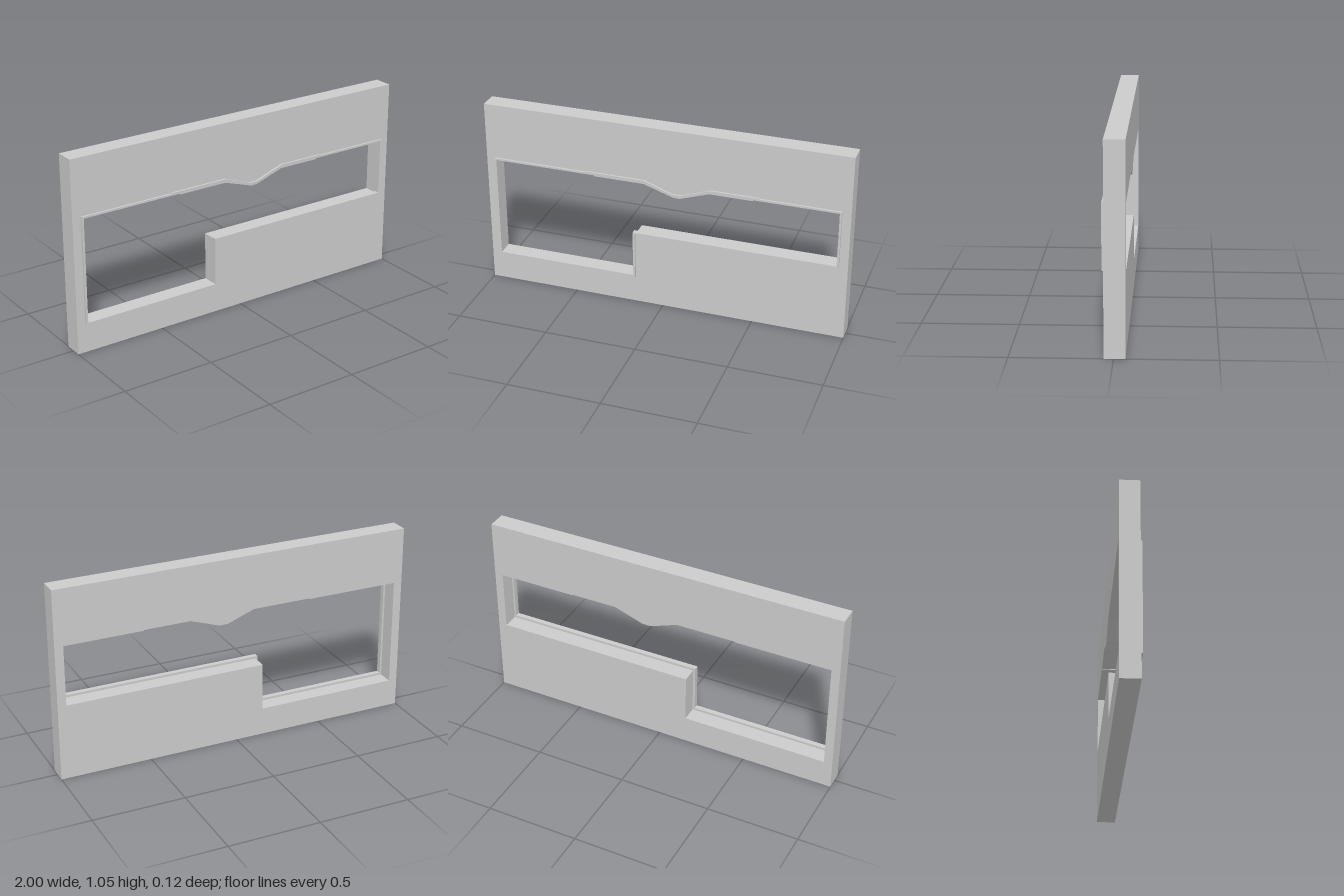
import * as THREE from 'three';

const material = new THREE.MeshStandardMaterial({ color: 0xcccccc, flatShading: true });
const toPoints = (list) => list.map(([x, y]) => new THREE.Vector2(x, y));

// Extrudes an outline with one opening between two depths
function framePart(name, outer, inner, zBack, zFront) {
  const shape = new THREE.Shape(toPoints(outer));
  shape.holes.push(new THREE.Path(toPoints(inner)));
  const geometry = new THREE.ExtrudeGeometry(shape, { depth: zFront - zBack, bevelEnabled: false });
  geometry.translate(0, 0, zBack);
  const mesh = new THREE.Mesh(geometry, material);
  mesh.name = name;
  return mesh;
}

// Stepped sill and jambs, shared by the opening and its trim
const steppedBase = (side, bottom, stepX, stepY) => [
  [-side, bottom], [stepX, bottom], [stepX, stepY], [side, stepY],
];

export function createModel() {
  const group = new THREE.Group();
  group.name = 'panelWithWindow';

  const wall = [[-1, 0], [1, 0], [1, 1.054], [-1, 1.054]];

  // Opening edge, with the shallow dip in its top
  const opening = [
    ...steppedBase(0.953, 0.153, -0.155, 0.416),
    [0.953, 0.746], [0.52, 0.746], [0.52, 0.75], [0.261, 0.75],
    [0.1, 0.694], [0.052, 0.694],
    [-0.1, 0.75], [-0.43, 0.75], [-0.43, 0.746], [-0.953, 0.746],
  ];

  // Inner edge of the trim; it is a little thicker around the dip
  const trimInner = [
    ...steppedBase(0.942, 0.166, -0.167, 0.429),
    [0.942, 0.736], [0.49, 0.736], [0.49, 0.731], [0.256, 0.731],
    [0.096, 0.677], [0.062, 0.677],
    [-0.103, 0.731], [-0.38, 0.731], [-0.38, 0.736], [-0.942, 0.736],
  ];

  group.add(framePart('wallPanel', wall, opening, -0.057, 0.047));
  // Trim set into the opening, standing slightly proud of the front
  group.add(framePart('windowTrim', opening, trimInner, 0.03, 0.058));

  return group;
}
